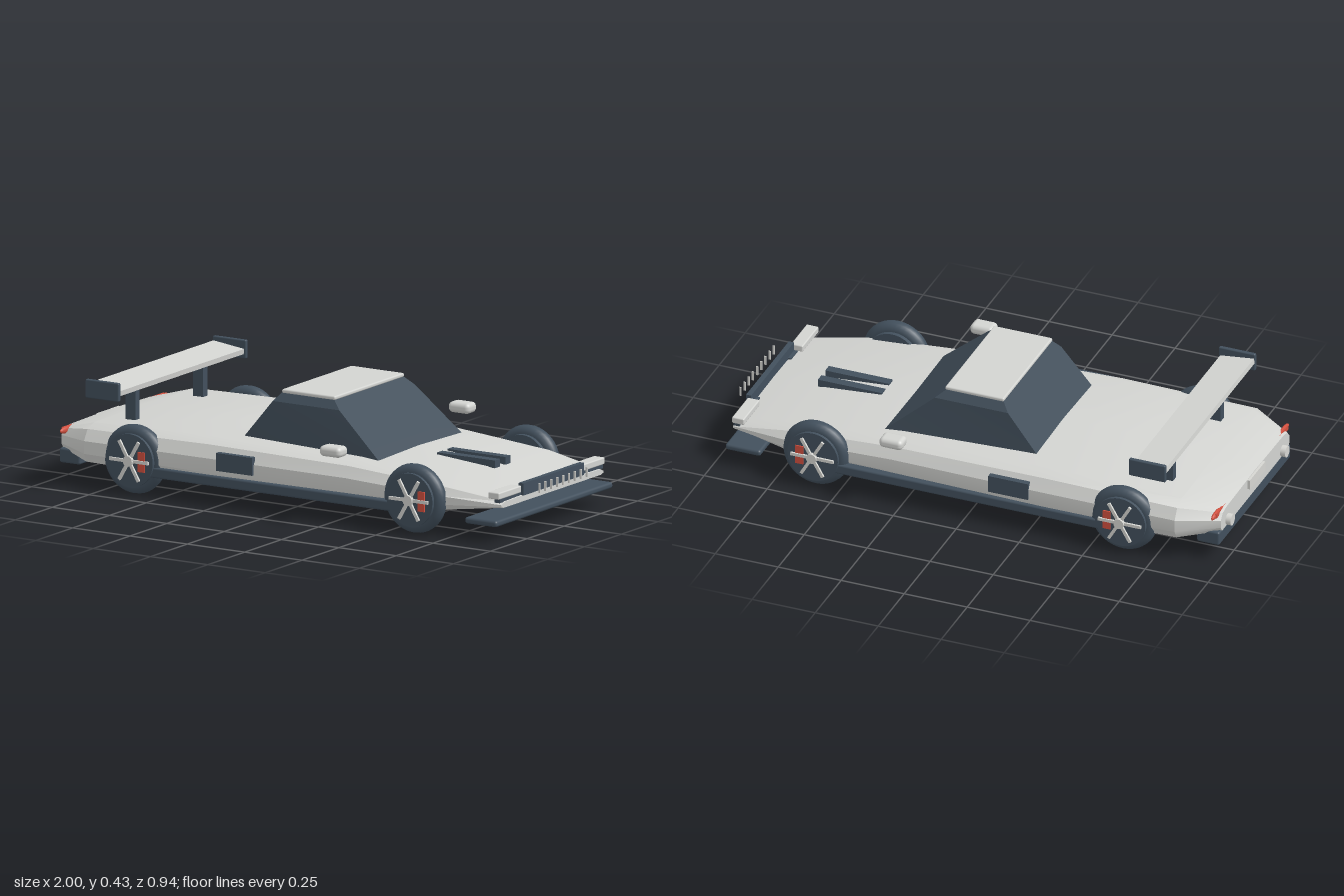
import * as THREE from 'three';
import { toCreasedNormals } from 'three/addons/utils/BufferGeometryUtils.js';
import { RoundedBoxGeometry } from 'three/addons/geometries/RoundedBoxGeometry.js';

const material = (name, color) => {
  const m = new THREE.MeshStandardMaterial({ color });
  m.name = name;
  return m;
};

// Closed skin through rings of [x, y, z] points, with flat end caps
function loft(rings, crease) {
  const n = rings[0].length, index = [], last = (rings.length - 1) * n;
  for (let i = 0; i < rings.length - 1; i++) {
    for (let j = 0; j < n; j++) {
      const k = (j + 1) % n, a = i * n + j, d = i * n + k;
      index.push(a, a + n, d + n, a, d + n, d);
    }
  }
  for (let j = 1; j < n - 1; j++) {
    index.push(0, j, j + 1, last, last + j + 1, last + j);
  }
  const g = new THREE.BufferGeometry();
  g.setAttribute('position', new THREE.Float32BufferAttribute(rings.flat(2), 3));
  g.setIndex(index);
  return toCreasedNormals(g, crease);
}

export function createModel() {
  const car = new THREE.Group();
  car.name = 'sportsCar';
  const paint = material('body paint', 0xd3d4d1);
  const dark = material('dark trim', 0x42505d);
  const glass = material('tinted glass', 0x414e5a);
  const metal = material('bright metal', 0xd6d6d2);
  const red = material('red', 0xd2503f);

  const add = (name, geometry, mat, x = 0, y = 0, z = 0, parent = car) => {
    const m = new THREE.Mesh(geometry, mat);
    m.name = name;
    m.position.set(x, y, z);
    parent.add(m);
    return m;
  };
  // Box given by its extents on each axis
  const box = (name, mat, [x0, x1], [y0, y1], [z0, z1], round = 0) => {
    const s = [x1 - x0, y1 - y0, z1 - z0];
    const g = round ? new RoundedBoxGeometry(...s, 3, round) : new THREE.BoxGeometry(...s);
    return add(name, g, mat, (x0 + x1) / 2, (y0 + y1) / 2, (z0 + z1) / 2);
  };
  const mirrored = (s, a, b) => (s > 0 ? [a, b] : [-b, -a]);

  // Wedge body: x, bottom, waist, top, half width
  const stations = [
    [-0.98, 0.12, 0.17, 0.205, 0.33],
    [-0.83, 0.1, 0.18, 0.243, 0.41],
    [-0.3, 0.09, 0.18, 0.253, 0.41],
    [0.3, 0.09, 0.175, 0.238, 0.395],
    [0.7, 0.1, 0.155, 0.205, 0.385],
    [0.95, 0.13, 0.142, 0.157, 0.345],
  ];
  const bodyRings = stations.map(([x, yb, ym, yt, w]) => {
    const half = [[w * 0.96, yb], [w, yb + (ym - yb) * 0.4], [w, ym],
      [w * 0.94, ym + (yt - ym) * 0.65], [w * 0.83, yt - 0.005]];
    const left = half.map(([z, y]) => [x, y, z]);
    const right = half.map(([z, y]) => [x, y, -z]).reverse();
    return [...left, [x, yt, 0], ...right];
  });
  add('body', loft(bodyRings, 0.45), paint);

  // Glass cabin: height, front x, rear x, half widths front and rear
  const cabinRings = [
    [0.225, 0.375, -0.24, 0.282, 0.267],
    [0.39, 0.185, -0.105, 0.257, 0.257],
    [0.42, 0.15, -0.08, 0.235, 0.235],
  ].map(([y, f, r, wf, wr]) => [[f, y, wf], [r, y, wr], [r, y, -wr], [f, y, -wf]]);
  add('cabinGlass', loft(cabinRings, 0.3), glass);
  box('roof', paint, [-0.08, 0.153], [0.419, 0.434], [-0.236, 0.236], 0.006);

  // Nose and lower trim
  box('frontSplitter', dark, [0.82, 0.96], [0.068, 0.092], [-0.397, 0.397], 0.01);
  box('rearDiffuser', dark, [-0.98, -0.89], [0.07, 0.125], [-0.345, 0.345], 0.008);
  box('grille', dark, [0.935, 0.955], [0.153, 0.199], [-0.206, 0.206]);
  for (let i = -4; i <= 4; i++) {
    const z = i * 0.04;
    box('grilleSlat', metal, [0.992, 1], [0.16, 0.196], [z - 0.002, z + 0.002]);
  }
  box('licencePlate', metal, [-0.99, -0.978], [0.165, 0.202], [-0.075, 0.075]);

  // Rear wing
  const wing = add('wing', new THREE.BoxGeometry(0.135, 0.02, 0.85), paint, -0.735, 0.387, 0);
  wing.rotation.z = -0.12;

  for (const s of [1, -1]) {
    const side = (a, b) => mirrored(s, a, b);
    box('wingEndPlate', dark, [-0.805, -0.66], [0.352, 0.422], side(0.424, 0.44), 0.005);
    box('wingSupport', dark, [-0.755, -0.712], [0.235, 0.38], side(0.215, 0.245));
    box('sideSkirt', dark, [-0.55, 0.52], [0.079, 0.119], side(0.385, 0.418), 0.008);
    box('sideIntake', dark, [-0.25, -0.093], [0.14, 0.207], side(0.395, 0.417));
    box('mirror', paint, [0.23, 0.322], [0.263, 0.303], side(0.405, 0.47), 0.017);
    box('hoodVent', dark, [0.48, 0.733], [0.2, 0.229], side(0.018, 0.053));
    box('headlightStrip', paint, [0.9, 0.948], [0.164, 0.19], side(0.206, 0.36), 0.005);
    box('headlightBezel', dark, [0.922, 0.945], [0.15, 0.164], side(0.15, 0.35));

    // Slim tail lights with a wider outer lens
    box('tailLight', red, [-0.97, -0.962], [0.185, 0.203], side(0.17, 0.345));
    const lens = add('tailLightLens', new THREE.SphereGeometry(1, 16, 10), red, -0.96, 0.192, s * 0.325);
    lens.scale.set(0.009, 0.013, 0.045);

    // Exhaust tip
    const pipe = add('exhaust', new THREE.CylinderGeometry(0.022, 0.022, 0.03, 20), metal, -0.985, 0.142, s * 0.263);
    pipe.rotation.z = Math.PI / 2;

    // Wheels
    for (const x of [-0.62, 0.6]) {
      const wheel = new THREE.Group();
      wheel.name = 'wheel';
      wheel.position.set(x, 0.135, 0);
      car.add(wheel);
      add('tire', new THREE.TorusGeometry(0.1, 0.03, 14, 40), dark, 0, 0, s * 0.385, wheel);
      const rim = add('rimDisc', new THREE.CylinderGeometry(0.1, 0.1, 0.086, 36), dark, 0, 0, s * 0.383, wheel);
      rim.rotation.x = Math.PI / 2;
      add('brakeCaliper', new THREE.BoxGeometry(0.03, 0.075, 0.006), red, 0.052, 0, s * 0.428, wheel);
      for (let i = 0; i < 6; i++) {
        const a = i * Math.PI / 3;
        const spoke = add('spoke', new THREE.BoxGeometry(0.08, 0.012, 0.008), metal,
          Math.cos(a) * 0.045, Math.sin(a) * 0.045, s * 0.432, wheel);
        spoke.rotation.z = a;
      }
      const hub = add('hub', new THREE.CylinderGeometry(0.02, 0.02, 0.014, 20), metal, 0, 0, s * 0.436, wheel);
      hub.rotation.x = Math.PI / 2;
    }
  }
  return car;
}
